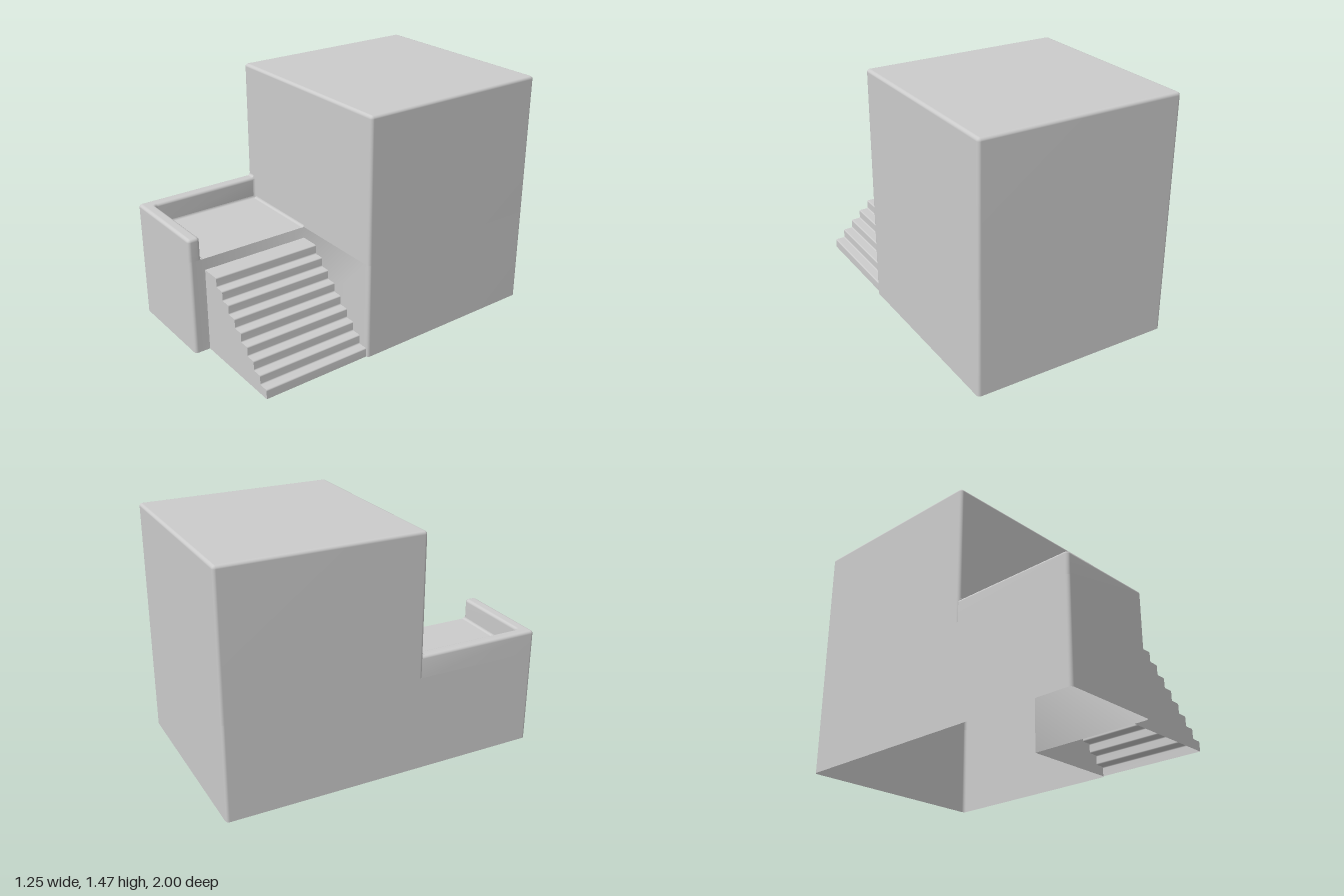
import * as THREE from 'three';

const material = new THREE.MeshStandardMaterial({ color: 0xcccccc, side: THREE.DoubleSide });
const X = 0.624, EDGE = -0.005, FRONT = 0.222, FLOOR = 0.597, RAIL = 0.735;
const INX = -0.553, INZ = 0.925;

// Inset an anticlockwise right-angled outline by d and round its corners
function rounded(pts, r, d = 0, sharp = [], n = 4) {
  const out = [];
  pts.forEach((p, i) => {
    const a = pts[(i + pts.length - 1) % pts.length], b = pts[(i + 1) % pts.length];
    const u = a.clone().sub(p).normalize(), v = b.clone().sub(p).normalize();
    const convex = u.cross(v) < 0;
    const q = p.clone().addScaledVector(u.clone().add(v), convex ? d : -d);
    const rad = sharp.includes(i) ? 0 : convex ? r - d : r + d;
    if (!rad) return out.push(q);
    for (let k = 0; k <= n; k++) {
      const t = (k / n) * Math.PI / 2;
      out.push(q.clone().addScaledVector(u, rad * (1 - Math.sin(t))).addScaledVector(v, rad * (1 - Math.cos(t))));
    }
  });
  return out;
}

function geometryFrom(pos, index) {
  const g = new THREE.BufferGeometry();
  g.setAttribute('position', new THREE.Float32BufferAttribute(pos, 3));
  g.setIndex(index);
  g.computeVertexNormals();
  return g;
}

// Upright shell, open below, over a plan outline of [x, z]; levels are [y, inset]
function shell(plan, levels, cap, sharp) {
  const pts = plan.map(([x, z]) => new THREE.Vector2(x, -z));
  const loops = levels.map(([, d]) => rounded(pts, 0.02, d, sharp));
  const pos = [], index = [], n = loops[0].length;
  loops.forEach((loop, j) => loop.forEach(p => pos.push(p.x, levels[j][0], -p.y)));
  for (let j = 0; j < loops.length - 1; j++) {
    for (let i = 0; i < n; i++) {
      const a = j * n + i, b = j * n + (i + 1) % n;
      index.push(a, b, b + n, a, b + n, a + n);
    }
  }
  if (cap) {
    const base = (loops.length - 1) * n;
    THREE.ShapeUtils.triangulateShape(loops.at(-1), []).forEach(f => index.push(...f.map(i => i + base)));
  }
  return geometryFrom(pos, index);
}

// Straight wall from y0 whose top edge is rounded over at y1
function roundTop(y0, y1, r = 0.018, n = 4) {
  const levels = [[y0, 0]];
  for (let k = 0; k <= n; k++) {
    const t = (k / n) * Math.PI / 2;
    levels.push([y1 - r + r * Math.sin(t), r * (1 - Math.cos(t))]);
  }
  return levels;
}

// Strip swept between z0 and z1 along a profile of Vector2
function strip(profile, z0, z1) {
  const pos = [], index = [];
  profile.forEach((p, i) => {
    pos.push(p.x, p.y, z0, p.x, p.y, z1);
    const a = 2 * i;
    if (i) index.push(a - 2, a, a - 1, a - 1, a, a + 1);
  });
  return geometryFrom(pos, index);
}

// Concave fillet in the corner line p-q, spreading along directions u and v
function cove(p, q, u, v, r = 0.014, n = 4) {
  const pos = [], index = [];
  const along = new THREE.Vector3(...q).sub(new THREE.Vector3(...p));
  const flip = new THREE.Vector3(...u).cross(new THREE.Vector3(...v)).dot(along) > 0;
  for (let k = 0; k <= n; k++) {
    const t = (k / n) * Math.PI / 2, s = r * (1 - Math.sin(t)), c = r * (1 - Math.cos(t));
    for (const e of [p, q]) pos.push(...e.map((w, i) => w + u[i] * s + v[i] * c));
    const a = 2 * k;
    if (k) index.push(...(flip ? [a - 2, a - 1, a, a - 1, a + 1, a] : [a - 2, a, a - 1, a - 1, a, a + 1]));
  }
  return geometryFrom(pos, index);
}

export function createModel() {
  const group = new THREE.Group();
  const add = (name, geometry) => {
    const mesh = new THREE.Mesh(geometry, material);
    mesh.name = name;
    group.add(mesh);
    return mesh;
  };

  // Ground-floor walls around tower and terrace together, open inside
  add('lowerWalls', shell(
    [[-X, 1], [EDGE, 1], [EDGE, FRONT], [X, FRONT], [X, -1], [-X, -1]],
    [[0, 0], [FLOOR, 0]], false, [2]));

  // Upper part of the main block
  add('upperBlock', shell(
    [[-X, FRONT], [X, FRONT], [X, -1], [-X, -1]], roundTop(FLOOR, 1.472), true));

  // Terrace floor and the parapet on its outer side and front
  const floor = add('terraceFloor', new THREE.PlaneGeometry(EDGE - INX, INZ - FRONT).rotateX(-Math.PI / 2));
  floor.position.set((EDGE + INX) / 2, FLOOR, (INZ + FRONT) / 2);
  add('parapet', shell(
    [[-X, 1], [EDGE, 1], [EDGE, INZ], [INX, INZ], [INX, FRONT - 0.003], [-X, FRONT - 0.003]],
    roundTop(FLOOR, RAIL), true, [4, 5]));

  // Small fillets where terrace, parapet and block meet
  const up = [0, 1, 0], fwd = [0, 0, 1], back = [0, 0, -1], right = [1, 0, 0];
  const coves = [
    [[INX, FLOOR, FRONT], [EDGE, FLOOR, FRONT], up, fwd],
    [[INX, FLOOR, INZ], [EDGE, FLOOR, INZ], up, back],
    [[INX, FLOOR, FRONT], [INX, FLOOR, INZ], up, right],
    [[INX, FLOOR, FRONT], [INX, RAIL - 0.01, FRONT], right, fwd],
    [[-X + 0.01, RAIL, FRONT], [INX - 0.01, RAIL, FRONT], up, fwd],
  ];
  for (const c of coves) add('fillet', cove(...c));

  // Staircase: nine steps with softened edges, open underneath
  const steps = 9, rise = 0.525 / steps, run = 0.0615, foot = 0.61, stairFront = 0.905;
  const outline = [[EDGE, 0], [foot, 0]];
  for (let i = 0; i < steps; i++) {
    outline.push([foot - i * run, (i + 1) * rise]);
    outline.push([i < steps - 1 ? foot - (i + 1) * run : EDGE, (i + 1) * rise]);
  }
  const profile = rounded(outline.map(p => new THREE.Vector2(...p)), 0.008, 0, [0, 1, outline.length - 1], 3);
  add('stairTreads', strip(profile.slice(1), stairFront, FRONT));
  add('stairSide', new THREE.ShapeGeometry(new THREE.Shape(profile))).position.z = stairFront;

  return group;
}
